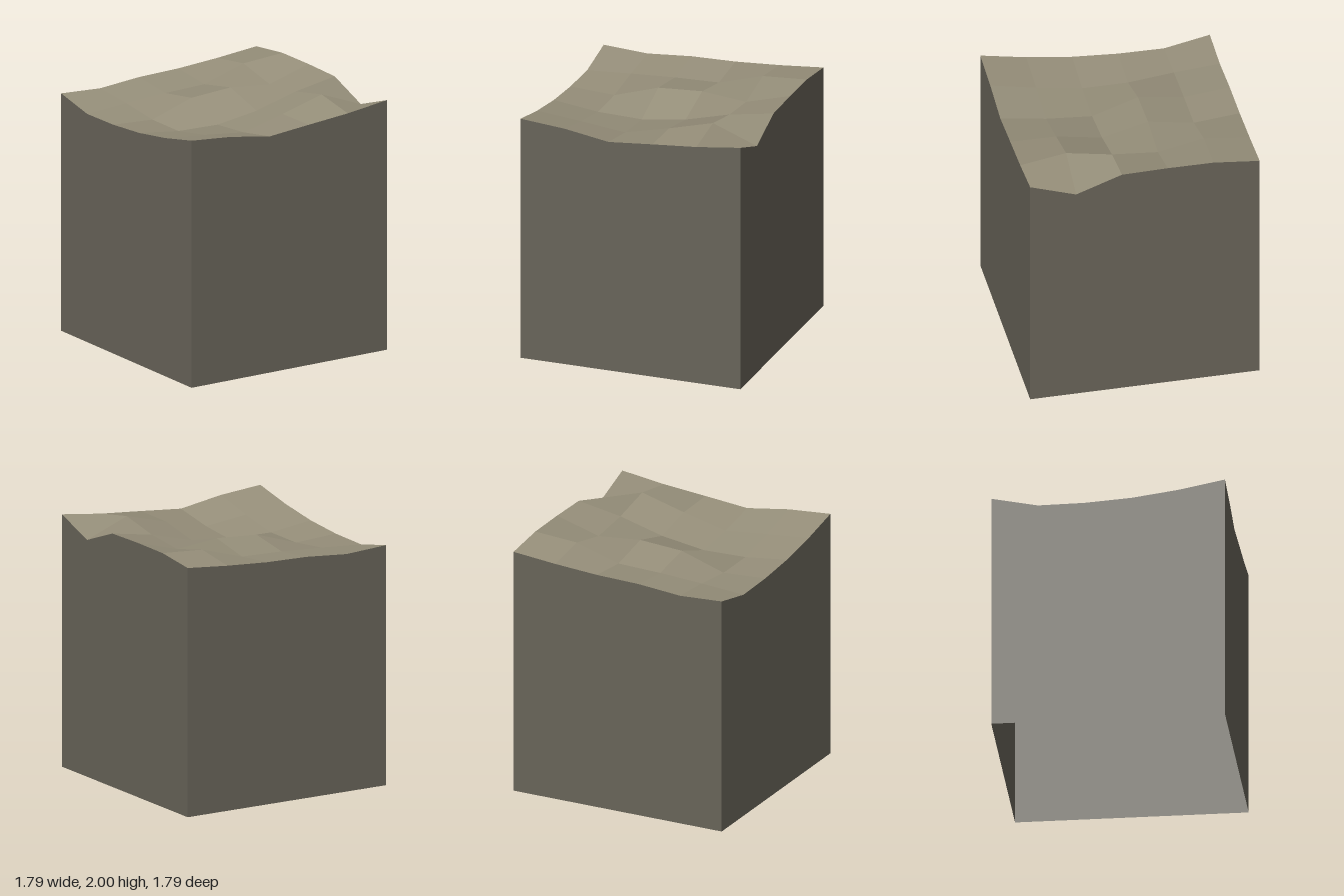
import * as THREE from 'three';

const N = 5;          // cells per side
const HALF = 0.893;   // half width of the block
const STEP = (2 * HALF) / N;

// Ground heights: rows run from back (-z) to front (+z), columns from -x to +x
const HEIGHTS = [
  [1.888, 1.868, 1.897, 1.905, 1.928, 1.96],
  [1.815, 1.84, 1.86, 1.87, 1.975, 1.998],
  [1.82, 1.80, 1.913, 1.935, 1.90, 2.0],
  [1.845, 1.80, 1.79, 1.84, 1.933, 1.993],
  [1.895, 1.86, 1.82, 1.905, 2.0, 1.863],
  [1.965, 1.935, 1.878, 1.91, 1.94, 1.985],
];

const point = (i, j) => new THREE.Vector3(-HALF + i * STEP, HEIGHTS[j][i], -HALF + j * STEP);

// Builds a geometry from quads [a, b, c, d]; each quad is split b-d and has one shared normal
function quadGeometry(quads) {
  const positions = [], normals = [];
  for (const [a, b, c, d] of quads) {
    const normal = c.clone().sub(a).cross(d.clone().sub(b)).normalize();
    for (const p of [a, b, d, b, c, d]) {
      positions.push(p.x, p.y, p.z);
      normals.push(normal.x, normal.y, normal.z);
    }
  }
  const geometry = new THREE.BufferGeometry();
  geometry.setAttribute('position', new THREE.Float32BufferAttribute(positions, 3));
  geometry.setAttribute('normal', new THREE.Float32BufferAttribute(normals, 3));
  return geometry;
}

// Wall hanging from a run of rim points down to the floor
function wallGeometry(rim) {
  const foot = (p) => new THREE.Vector3(p.x, 0, p.z);
  const quads = [];
  for (let k = 0; k < N; k++) {
    quads.push([rim[k], foot(rim[k]), foot(rim[k + 1]), rim[k + 1]]);
  }
  return quadGeometry(quads);
}

export function createModel() {
  const group = new THREE.Group();
  group.name = 'terrainBlock';

  const soil = new THREE.MeshStandardMaterial({ color: 0x968f7a, side: THREE.DoubleSide });
  soil.name = 'paleSoil';
  const rock = new THREE.MeshStandardMaterial({ color: 0x686459, side: THREE.DoubleSide });
  rock.name = 'darkRock';

  const add = (name, geometry, material) => {
    const mesh = new THREE.Mesh(geometry, material);
    mesh.name = name;
    group.add(mesh);
  };

  // Uneven ground
  const cells = [];
  for (let j = 0; j < N; j++) {
    for (let i = 0; i < N; i++) {
      cells.push([point(i, j), point(i, j + 1), point(i + 1, j + 1), point(i + 1, j)]);
    }
  }
  add('groundSurface', quadGeometry(cells), soil);

  // Four side walls, the underside is open
  const run = [...Array(N + 1).keys()];
  add('frontWall', wallGeometry(run.map((k) => point(k, N))), rock);
  add('leftWall', wallGeometry(run.map((k) => point(N, N - k))), rock);
  add('backWall', wallGeometry(run.map((k) => point(N - k, 0))), rock);
  add('rightWall', wallGeometry(run.map((k) => point(0, k))), rock);

  return group;
}
